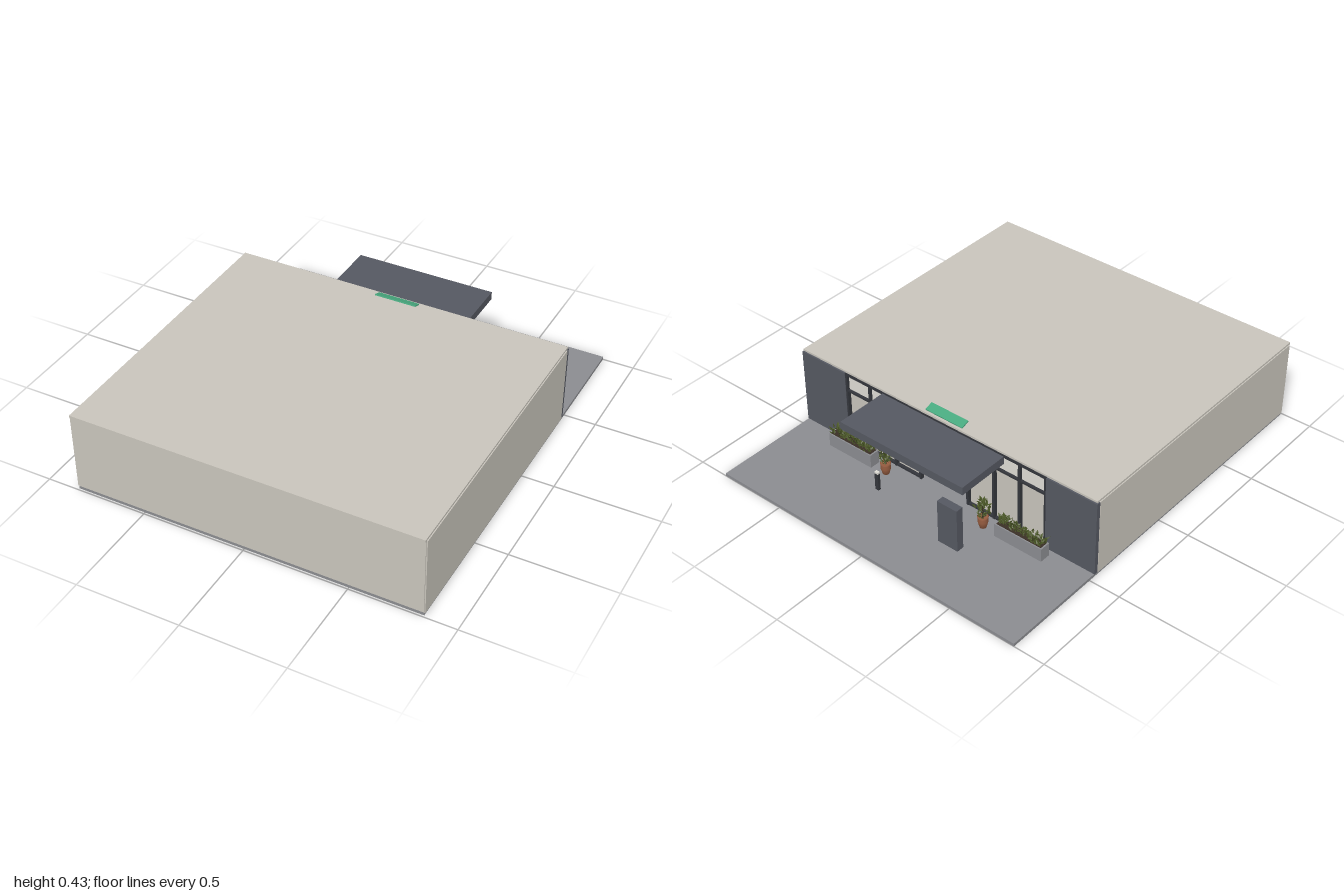
import * as THREE from 'three';
import { mergeGeometries } from 'three/addons/utils/BufferGeometryUtils.js';

const mat = (name, color, side = THREE.FrontSide) => {
  const m = new THREE.MeshStandardMaterial({ color, side });
  m.name = name;
  return m;
};

export function createModel() {
  const root = new THREE.Group();
  root.name = 'storeBuilding';

  const beige = mat('beigeWall', 0xc8c4bb);
  const paving = mat('paving', 0x8b8c90);
  const slate = mat('slateMetal', 0x555861);
  const frame = mat('darkFrame', 0x34363c);
  const light = mat('paleGlazing', 0xdedcd5);
  const wood = mat('woodSoffit', 0x6b4630);
  const green = mat('greenSign', 0x47a87e);
  const leaf = mat('leaves', 0x4a5726, THREE.DoubleSide);
  const clay = mat('terracotta', 0x9a5f42);
  const soil = mat('soil', 0x3a2f26);

  let seed = 7;
  const rnd = () => (seed = (seed * 16807) % 2147483647) / 2147483647;

  const add = (name, geo, material, parent = root) => {
    const m = new THREE.Mesh(geo, material);
    m.name = name;
    parent.add(m);
    return m;
  };
  // Box given by its lower and upper bounds on each axis
  const box = (name, x0, x1, y0, y1, z0, z1, material, parent) => {
    const m = add(name, new THREE.BoxGeometry(x1 - x0, y1 - y0, z1 - z0), material, parent);
    m.position.set((x0 + x1) / 2, (y0 + y1) / 2, (z0 + z1) / 2);
    return m;
  };

  // Ground slab with forecourt behind the building
  box('groundSlab', -0.845, 0.845, 0, 0.015, -1, 0.99, paving);

  // Building body with a recessed entrance
  box('mainBody', -0.85, 0.85, 0.015, 0.403, -0.33, 0.99, beige);
  box('roofCap', -0.845, 0.845, 0.403, 0.413, -0.465, 1, beige);
  box('rearTrim', -0.845, 0.845, 0.02, 0.403, 0.99, 0.995, beige);
  for (const s of [-1, 1]) {
    const a = s * 0.14, b = s * 0.85;
    box('facadeBlock', Math.min(a, b), Math.max(a, b), 0.015, 0.403, -0.45, -0.33, beige);
  }
  box('entranceLintel', -0.14, 0.14, 0.3, 0.403, -0.45, -0.33, beige);

  // Facade: solid end panels, pale upper lights, mullions and rails
  const facade = new THREE.Group();
  facade.name = 'facade';
  root.add(facade);
  for (const s of [-1, 1]) {
    const a = s * 0.58, b = s * 0.848;
    box('endPanel', Math.min(a, b), Math.max(a, b), 0.015, 0.4, -0.47, -0.45, slate, facade);
    for (const x of [0.14, 0.29, 0.433, 0.575]) {
      box('mullion', s * x - 0.006, s * x + 0.006, 0.015, 0.4, -0.468, -0.45, frame, facade);
    }
    const c = s * 0.14, d = s * 0.58;
    box('sillRail', Math.min(c, d), Math.max(c, d), 0.015, 0.025, -0.465, -0.45, frame, facade);
  }
  box('upperLight', -0.58, 0.58, 0.31, 0.39, -0.455, -0.45, light, facade);
  box('transom', -0.58, 0.58, 0.3, 0.31, -0.467, -0.45, frame, facade);
  box('headRail', -0.58, 0.58, 0.388, 0.403, -0.468, -0.45, frame, facade);
  box('doorPost', -0.005, 0.005, 0.015, 0.3, -0.338, -0.33, frame, facade);

  // Canopy with slatted soffit and small downlights
  const canopy = new THREE.Group();
  canopy.name = 'canopy';
  root.add(canopy);
  box('canopyTop', -0.35, 0.35, 0.365, 0.395, -0.735, -0.465, slate, canopy);
  box('canopyFrontEdge', -0.35, 0.35, 0.355, 0.366, -0.735, -0.722, slate, canopy);
  for (const s of [-1, 1]) {
    box('canopySideEdge', s * 0.3435 - 0.0065, s * 0.3435 + 0.0065, 0.355, 0.366, -0.722, -0.465, slate, canopy);
  }
  for (let i = 0; i < 14; i++) {
    const z = -0.72 + i * 0.018;
    box('soffitSlat', -0.337, 0.337, 0.36, 0.366, z, z + 0.015, wood, canopy);
  }
  for (const x of [-0.22, 0, 0.22]) for (const z of [-0.66, -0.54]) {
    add('downlight', new THREE.CylinderGeometry(0.008, 0.008, 0.004, 12), light, canopy).position.set(x, 0.359, z);
  }

  // Tilted green roof sign
  const sign = box('roofSign', -0.105, 0.105, 0.42, 0.426, -0.454, -0.41, green);
  sign.rotation.x = -0.33;

  // Forecourt totem and short bollard
  box('totem', -0.31, -0.2, 0.015, 0.24, -0.73, -0.692, slate);
  box('bollard', 0.228, 0.248, 0.015, 0.105, -0.648, -0.634, frame);
  box('bollardCap', 0.228, 0.248, 0.105, 0.115, -0.648, -0.634, light);

  // Folded diamond leaf pointing up, base at the origin
  const leafGeo = (len, wide) => {
    const g = new THREE.BufferGeometry();
    g.setAttribute('position', new THREE.Float32BufferAttribute([
      0, 0, 0, wide, len * 0.5, 0.003, 0, len, 0,
      0, 0, 0, 0, len, 0, -wide, len * 0.5, 0.003], 3));
    g.computeVertexNormals();
    return g;
  };
  // Leaves scattered in a box-shaped volume
  const foliage = (name, n, cx, cy, cz, rx, ry, rz, parent) => {
    const parts = [];
    for (let i = 0; i < n; i++) {
      const g = leafGeo(0.018 + rnd() * 0.014, 0.005 + rnd() * 0.003);
      g.rotateX((rnd() - 0.5) * 2.4);
      g.rotateY(rnd() * Math.PI * 2);
      g.translate(cx + (rnd() * 2 - 1) * rx, cy + (rnd() * 2 - 1) * ry, cz + (rnd() * 2 - 1) * rz);
      parts.push(g);
    }
    add(name, mergeGeometries(parts), leaf, parent);
  };

  const potProfile = [[0, 0], [0.016, 0], [0.025, 0.035], [0.022, 0.05], [0.026, 0.058], [0.02, 0.058], [0, 0.052]]
    .map(p => new THREE.Vector2(...p));

  for (const s of [-1, 1]) {
    // Long planter trough
    const trough = new THREE.Group();
    trough.name = 'planter';
    trough.position.set(s * 0.495, 0, -0.525);
    root.add(trough);
    box('trough', -0.13, 0.13, 0.015, 0.084, -0.027, 0.027, paving, trough);
    box('troughSoil', -0.122, 0.122, 0.084, 0.087, -0.021, 0.021, soil, trough);
    foliage('troughLeaves', 170, 0, 0.093, 0, 0.122, 0.012, 0.02, trough);

    // Potted shrub beside the entrance
    const pot = new THREE.Group();
    pot.name = 'pottedShrub';
    pot.position.set(s * 0.288, 0, -0.535);
    root.add(pot);
    add('pot', new THREE.LatheGeometry(potProfile, 20), clay, pot).position.y = 0.015;
    add('stem', new THREE.CylinderGeometry(0.003, 0.004, 0.07, 6), soil, pot).position.y = 0.1;
    foliage('lowerLeaves', 45, 0, 0.1, 0, 0.026, 0.02, 0.026, pot);
    foliage('upperLeaves', 35, 0, 0.135, 0, 0.017, 0.018, 0.017, pot);
  }

  return root;
}
